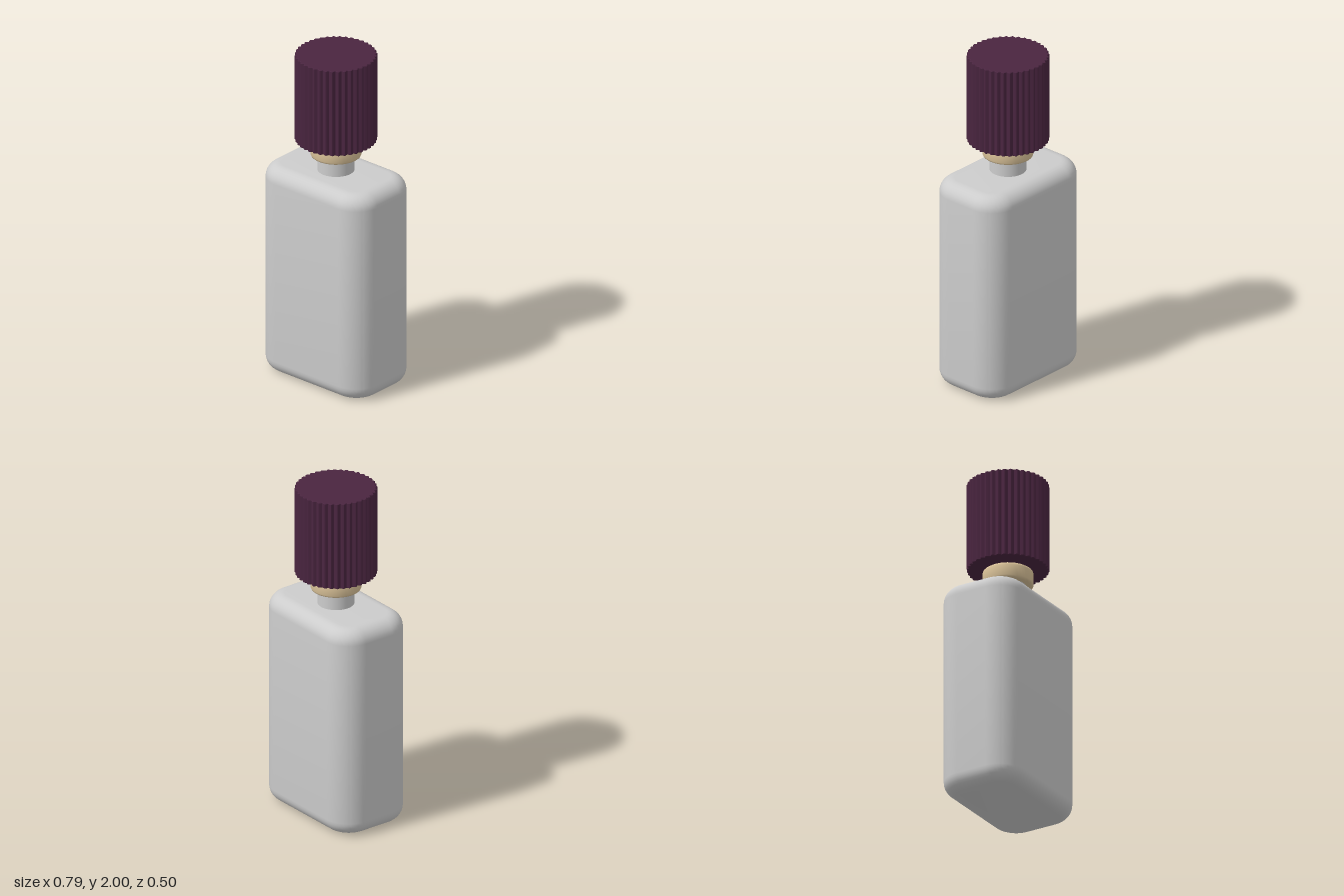
import * as THREE from 'three';
import { mergeVertices, toCreasedNormals } from 'three/addons/utils/BufferGeometryUtils.js';

const mat = (name, color) => {
  const m = new THREE.MeshStandardMaterial({ color });
  m.name = name;
  return m;
};

// Extrude a plan shape upward from y = 0, with smooth rounded sides
function extrudeUp(shape, height, bevel, bevelSegments, curveSegments, crease) {
  const geo = new THREE.ExtrudeGeometry(shape, {
    depth: height - 2 * bevel, curveSegments, bevelEnabled: true,
    bevelSize: bevel, bevelThickness: bevel, bevelSegments,
  });
  geo.translate(0, 0, bevel);
  geo.rotateX(-Math.PI / 2);
  geo.deleteAttribute('normal');
  geo.deleteAttribute('uv');
  return toCreasedNormals(mergeVertices(geo, 1e-5), crease);
}

function roundedRect(w, d, r) {
  const s = new THREE.Shape();
  s.absarc(w - r, d - r, r, 0, Math.PI / 2);
  s.absarc(-w + r, d - r, r, Math.PI / 2, Math.PI);
  s.absarc(-w + r, -d + r, r, Math.PI, Math.PI * 1.5);
  s.absarc(w - r, -d + r, r, Math.PI * 1.5, Math.PI * 2);
  s.closePath();
  return s;
}

// Circle with rounded ridges around its rim
function flutedCircle(radius, ridge, count) {
  const pts = [];
  const n = count * 8;
  for (let i = 0; i < n; i++) {
    const a = (i / n) * Math.PI * 2;
    const r = radius + ridge * Math.cos(count * a);
    pts.push(new THREE.Vector2(Math.cos(a) * r, Math.sin(a) * r));
  }
  return new THREE.Shape(pts);
}

export function createModel() {
  const glass = mat('pale grey glass', 0xcccccc);
  const gold = mat('soft gold', 0xdcc49a);
  const plum = mat('dark plum', 0x4a2540);
  const model = new THREE.Group();
  model.name = 'bottle';
  const add = (name, geo, material, y = 0) => {
    const mesh = new THREE.Mesh(geo, material);
    mesh.name = name;
    mesh.position.y = y;
    model.add(mesh);
  };

  // Rounded block body
  const bevel = 0.085;
  add('body', extrudeUp(roundedRect(0.395 - bevel, 0.252 - bevel, 0.075), 1.28, bevel, 8, 12, 0.6), glass);

  // Neck
  add('neck', new THREE.CylinderGeometry(0.105, 0.105, 0.16, 48), glass, 1.34);

  // Collar with softened rims
  const profile = [[0.1, 1.37], [0.132, 1.37], [0.141, 1.374], [0.145, 1.384],
    [0.145, 1.445], [0.141, 1.458], [0.13, 1.465], [0.1, 1.475]];
  const collar = new THREE.LatheGeometry(profile.map(([x, y]) => new THREE.Vector2(x, y)), 48);
  add('collar', toCreasedNormals(collar, 0.9), gold);

  // Fluted cap
  add('cap', extrudeUp(flutedCircle(0.224, 0.006, 40), 0.53, 0.003, 1, 1, 0.7), plum, 1.47);

  return model;
}
